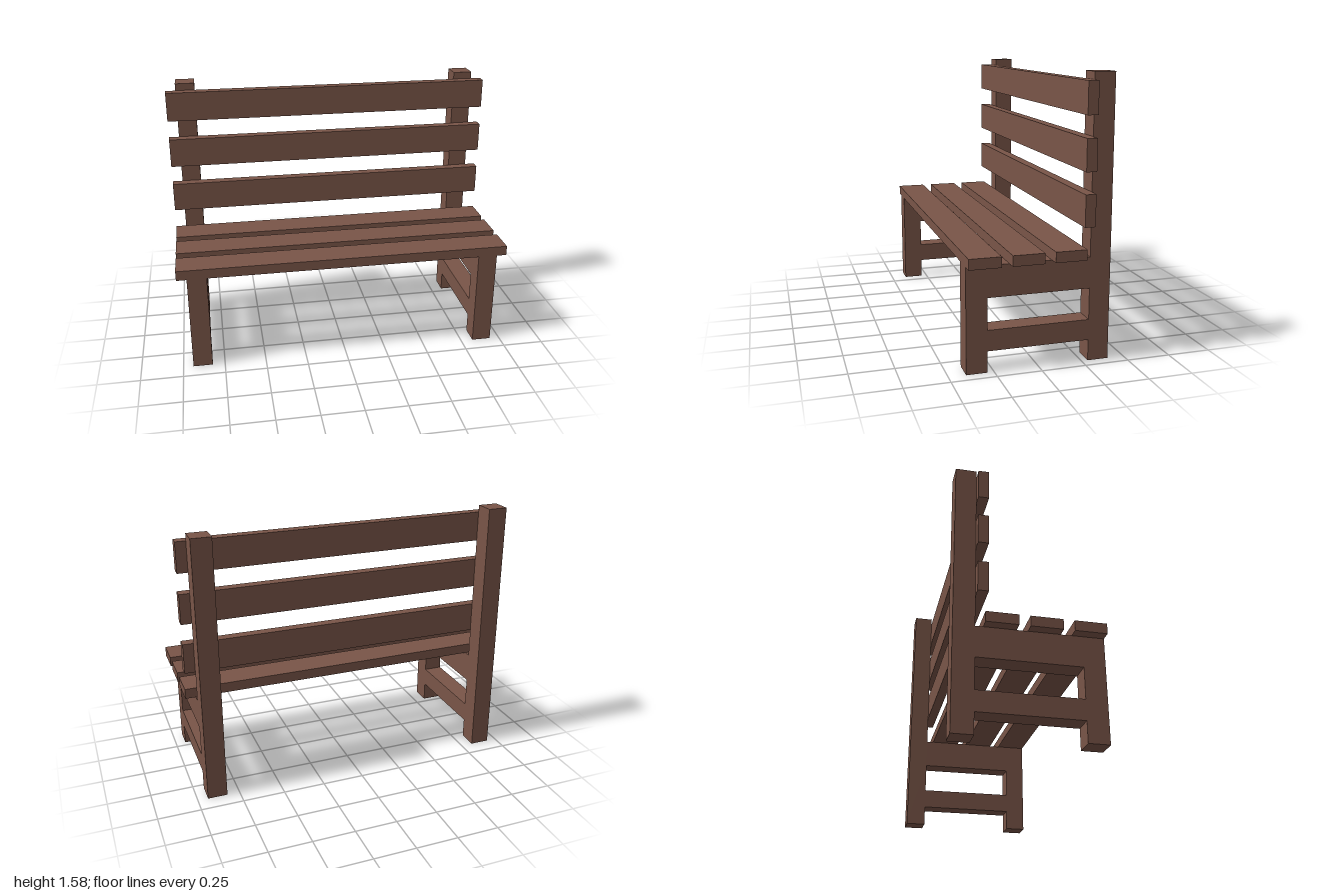
import * as THREE from 'three';

export function createModel() {
  const bench = new THREE.Group();
  bench.name = 'bench';
  const wood = new THREE.MeshStandardMaterial({ color: 0x795548, flatShading: true });

  const add = (name, geometry, x, y, z) => {
    const mesh = new THREE.Mesh(geometry, wood);
    mesh.name = name;
    mesh.position.set(x, y, z);
    bench.add(mesh);
  };

  // Side frame profile (z, y): front leg, seat rail, stretcher and tall back post
  const front = 0.404, inner = 0.286, seatY = 0.591, topY = 1.575;
  const railY = 0.415, stretcherTop = 0.237, stretcherBottom = 0.12;
  const points = list => list.map(([z, y]) => new THREE.Vector2(z, y));
  const profile = new THREE.Shape(points([
    [-front, 0], [-inner, 0], [-inner, stretcherBottom], [inner, stretcherBottom],
    [inner, 0], [front, 0], [front, seatY], [-inner, seatY], [-inner, topY], [-front, topY],
  ]));
  // Opening between stretcher and seat rail
  profile.holes.push(new THREE.Path(points([
    [-inner, stretcherTop], [-inner, railY], [inner, railY], [inner, stretcherTop],
  ])));
  const thickness = 0.116;
  const frame = new THREE.ExtrudeGeometry(profile, { depth: thickness, bevelEnabled: false });
  frame.translate(0, 0, -thickness / 2);
  frame.rotateY(-Math.PI / 2);
  add('leftSideFrame', frame, 0.882, 0, 0);
  add('rightSideFrame', frame, -0.882, 0, 0);

  // Three seat slats and three back slats across the frames
  const slatWidth = 0.176, slatThickness = 0.059;
  const seatSlat = new THREE.BoxGeometry(2, slatThickness, slatWidth);
  const backSlat = new THREE.BoxGeometry(2, slatWidth, slatThickness);
  for (let i = 0; i < 3; i++) {
    add(`seatSlat${i + 1}`, seatSlat, 0, seatY + slatThickness / 2, 0.316 - i * 0.236);
    add(`backSlat${i + 1}`, backSlat, 0, 0.857 + i * 0.294, -inner + slatThickness / 2);
  }

  return bench;
}
